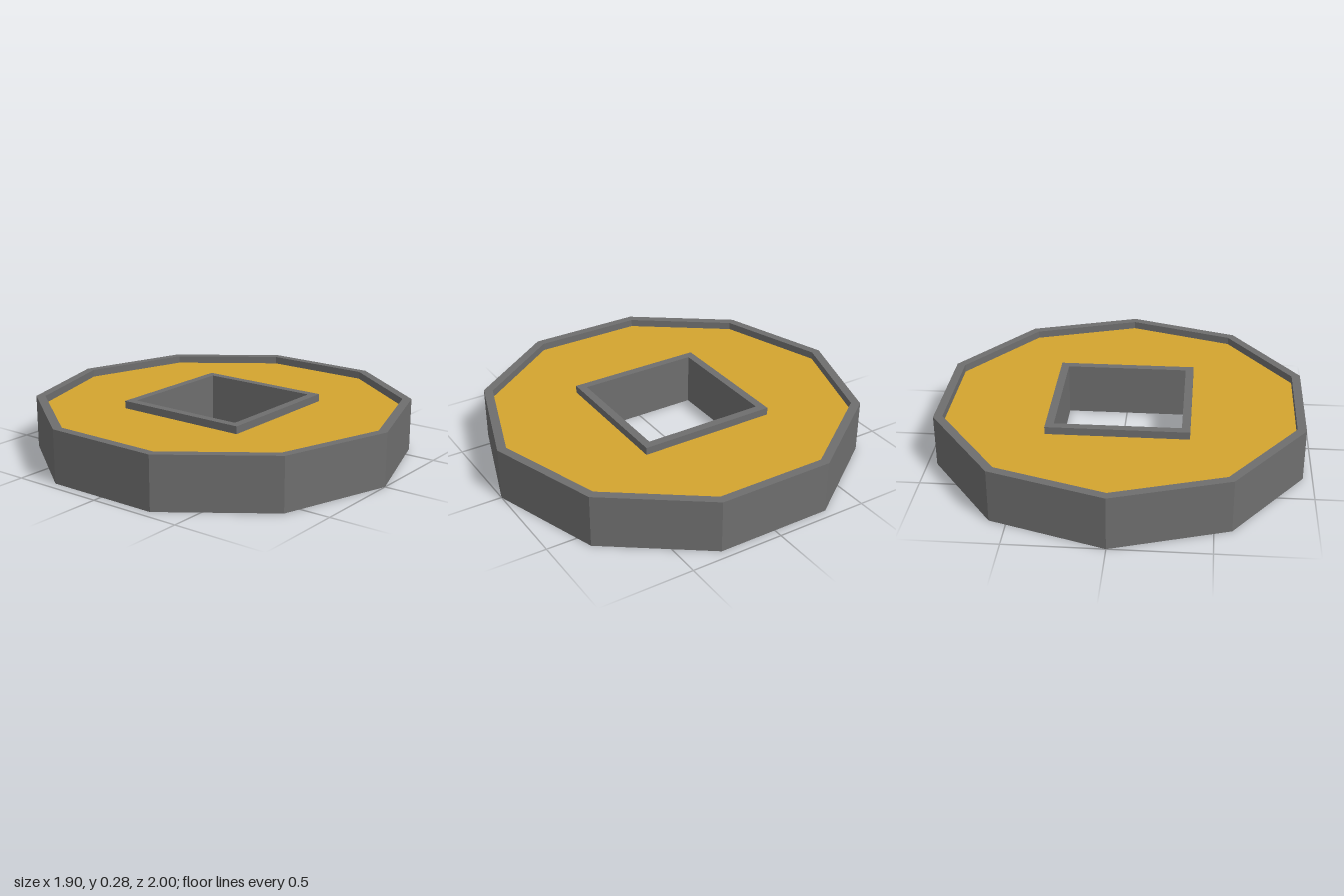
import * as THREE from 'three';

const HEIGHT = 0.28;
const RECESS = 0.04;

// Regular polygon outline with its first corner on the z axis
function polygon(sides, radius) {
  return Array.from({ length: sides }, (_, i) => {
    const a = Math.PI / 2 + (i / sides) * Math.PI * 2;
    return new THREE.Vector2(Math.cos(a) * radius, Math.sin(a) * radius);
  });
}

// Axis-aligned square outline
function square(h) {
  return [[-h, -h], [h, -h], [h, h], [-h, h]].map(([x, y]) => new THREE.Vector2(x, y));
}

// Flat plate with a hole, lying between heights y0 and y1
function ring(name, outer, inner, y0, y1, material) {
  const shape = new THREE.Shape(outer);
  shape.holes.push(new THREE.Path(inner));
  const geometry = new THREE.ExtrudeGeometry(shape, { depth: y1 - y0, bevelEnabled: false });
  geometry.rotateX(-Math.PI / 2);
  geometry.translate(0, y0, 0);
  const mesh = new THREE.Mesh(geometry, material);
  mesh.name = name;
  return mesh;
}

export function createModel() {
  const grey = new THREE.MeshStandardMaterial({ color: 0x6e6e6e });
  grey.name = 'dark grey metal';
  const gold = new THREE.MeshStandardMaterial({ color: 0xd4a42f });
  gold.name = 'gold';

  const group = new THREE.Group();
  group.name = 'coin';
  group.add(
    // Raised ten-sided border
    ring('outerRim', polygon(10, 1), polygon(10, 0.952), 0, HEIGHT, grey),
    // Raised frame around the square hole
    ring('holeFrame', square(0.368), square(0.325), 0, HEIGHT, grey),
    // Recessed body, the same on both sides
    ring('body', polygon(10, 0.952), square(0.368), RECESS, HEIGHT - RECESS, gold),
  );
  return group;
}
